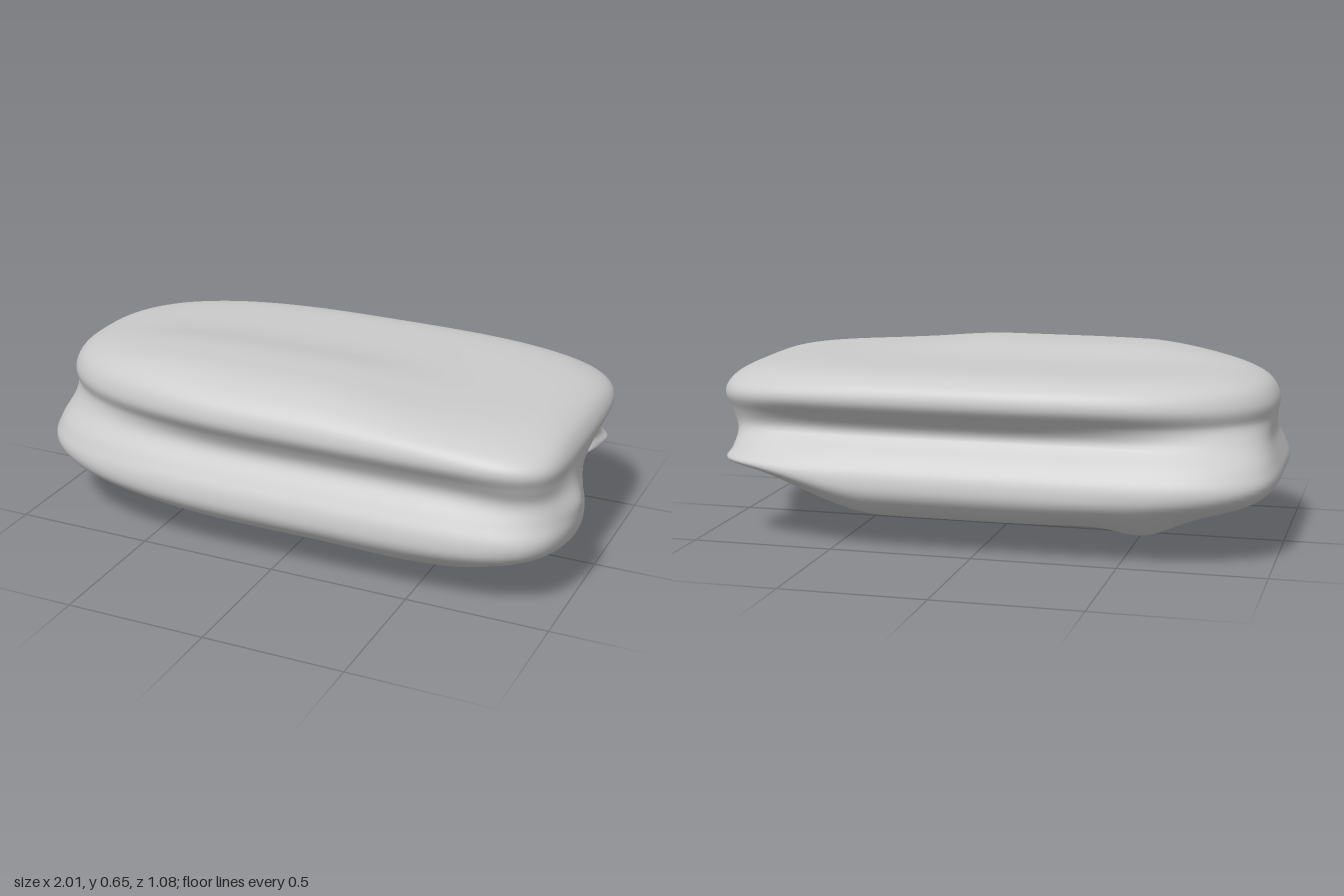
import * as THREE from 'three';
import { mergeVertices } from 'three/addons/utils/BufferGeometryUtils.js';

const gauss = (d, w) => Math.exp(-(d * d) / (w * w));
const step = THREE.MathUtils.smoothstep;
const lerp = THREE.MathUtils.lerp;

// Half outline from the underside to the top: [x extent, y, z extent]
const PROFILE = [
  [0, 0.08, 0], [0.3, 0.08, 0.17], [0.57, 0.085, 0.315], [0.75, 0.113, 0.428],
  [0.88, 0.157, 0.502], [0.957, 0.21, 0.538], [0.985, 0.268, 0.533],
  [0.975, 0.325, 0.507], [0.96, 0.39, 0.483], [0.965, 0.45, 0.503],
  [0.97, 0.505, 0.525], [0.945, 0.553, 0.513], [0.89, 0.585, 0.48],
  [0.77, 0.606, 0.415], [0.45, 0.614, 0.24], [0, 0.616, 0],
];

// Corner roundness per quadrant, different for the lower and upper cushion
// and softer towards the underside and the top
function cornerPower(right, front, y) {
  const upper = step(y, 0.32, 0.46);
  const low = 1 - step(y, 0.1, 0.26), high = step(y, 0.52, 0.61);
  if (right) {
    const n = front ? lerp(6.5, 7, upper) : lerp(6, 4.5, upper);
    return lerp(n, 3.4, Math.max(low * 0.6, high));
  }
  const n = front ? lerp(3.8, 2.5, upper) : lerp(5, 2.6, upper);
  return lerp(n, 2.6, low);
}

function shapePoint(p, t) {
  const c = Math.cos(t), s = Math.sin(t);
  const n = cornerPower(c > 0, s > 0, p.y);
  const r = Math.pow(Math.abs(c) ** n + Math.abs(s) ** n, -1 / n);
  let x = p.x * r * c, y = p.y, z = p.z * r * s;

  // seam along the middle of both long sides, a little deeper at the back
  const side = step(Math.abs(z), 0.3, 0.45);
  const along = step(x, -0.85, -0.3) * (1 - step(x, 0.6, 0.92));
  z -= Math.sign(z) * (z > 0 ? 0.022 : 0.035) * side * along * gauss(y - 0.42, 0.07);
  if (z < 0) z += 0.018 * side * gauss(y - 0.39, 0.06);

  // lower lobe reaching further out at the left end
  x -= 0.015 * step(-x, 0.75, 0.98) * gauss(y - 0.27, 0.08);

  // hollow in the right end towards the back
  const end = step(x, 0.6, 0.92);
  x -= 0.17 * end * gauss(y - 0.28, 0.11) * gauss(z + 0.2, 0.18);
  // shallow swelling and a fuller lower edge on the right end
  x += 0.035 * end * gauss(y - 0.35, 0.07) * gauss(z - 0.24, 0.09);
  x += 0.03 * end * gauss(y - 0.19, 0.06) * gauss(z - 0.2, 0.2);

  // sagging bulges on the underside
  const under = 1 - step(y, 0.08, 0.26);
  const bulge = gauss(Math.max(0, Math.abs(x - 0.51) - 0.09), x > 0.51 ? 0.24 : 0.15)
    * gauss(Math.max(0, Math.abs(z - 0.11) - 0.06), z > 0.11 ? 0.19 : 0.1);
  y -= 0.083 * under * bulge;
  y -= 0.045 * under * gauss(x + 0.57, 0.12) * gauss(z + 0.35, 0.13);
  // underside rising to a thin lip at the right back corner
  y += 0.1 * (1 - step(p.y, 0.12, 0.34)) * step(x, 0.35, 0.85) * (1 - step(z, -0.3, 0));

  // gentle crown on the top
  const crown = gauss(Math.max(0, Math.abs(x + 0.18) - 0.25), 0.3)
    * gauss(Math.max(0, Math.abs(z - 0.24) - 0.06), 0.18);
  y += 0.036 * step(y, 0.5, 0.61) * crown;
  return [x, y, z];
}

function cushionGeometry(rows = 72, cols = 144) {
  const curve = new THREE.CatmullRomCurve3(PROFILE.map((p) => new THREE.Vector3(...p)));
  const pos = [], index = [];
  for (let i = 0; i <= rows; i++) {
    const p = curve.getPoint(i / rows);
    for (let j = 0; j < cols; j++) {
      pos.push(...shapePoint(p, (j / cols) * Math.PI * 2));
      if (i === rows) continue;
      const a = i * cols + j, b = i * cols + (j + 1) % cols;
      // single triangles at both poles, quads between them
      if (i < rows - 1) index.push(a, a + cols, b + cols);
      if (i > 0 && i < rows - 1) index.push(a, b + cols, b);
      if (i === rows - 1) index.push(a, a + cols, b);
    }
  }
  const geo = new THREE.BufferGeometry();
  geo.setAttribute('position', new THREE.Float32BufferAttribute(pos, 3));
  geo.setIndex(index);
  const merged = mergeVertices(geo, 1e-5);
  merged.computeVertexNormals();
  return merged;
}

export function createModel() {
  const group = new THREE.Group();
  group.name = 'softBun';
  const body = new THREE.Mesh(
    cushionGeometry(),
    new THREE.MeshStandardMaterial({ color: 0xcccccc, side: THREE.DoubleSide }),
  );
  body.name = 'bunBody';
  group.add(body);
  return group;
}
